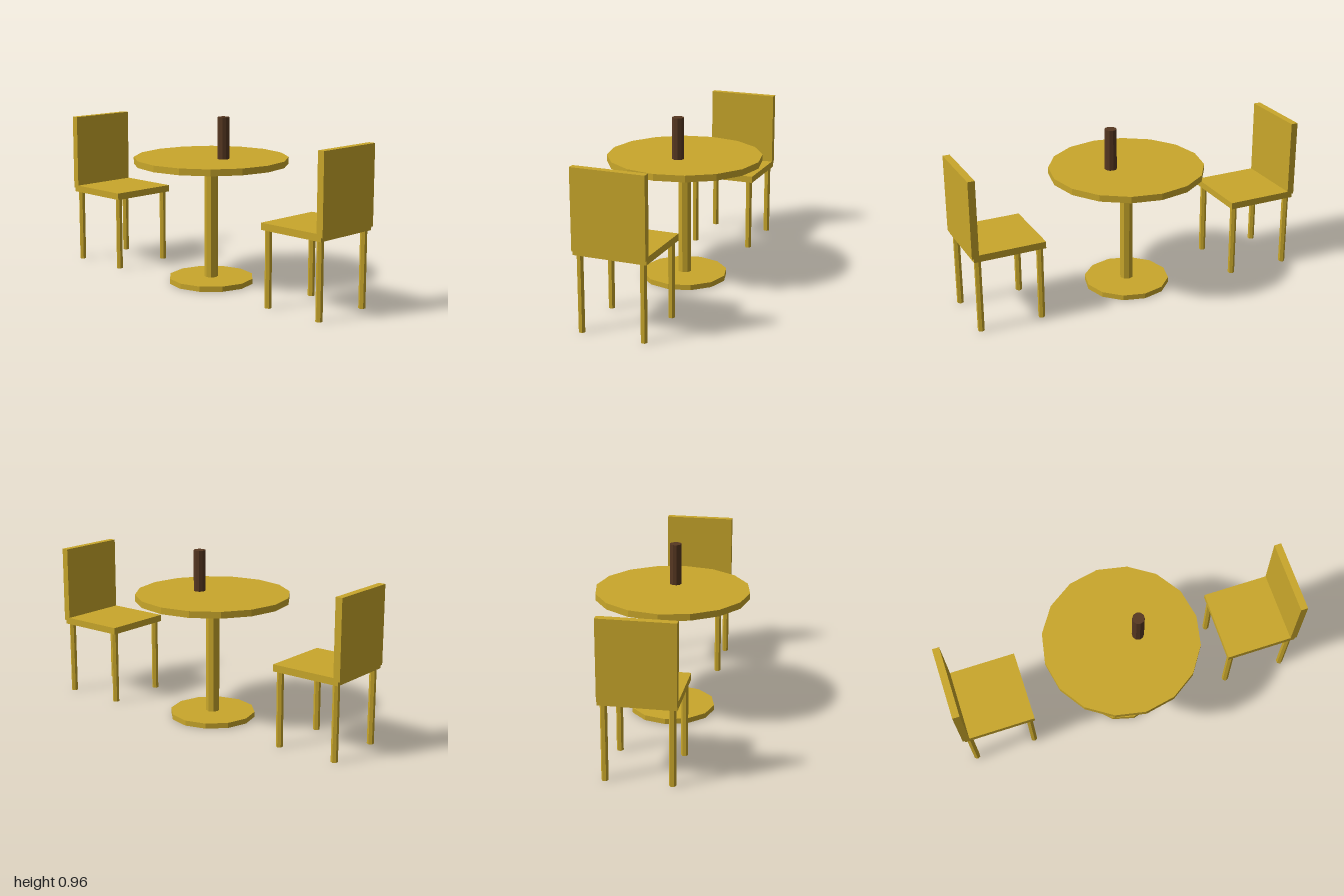
import * as THREE from 'three';

export function createModel() {
  const model = new THREE.Group();
  model.name = 'diningSet';

  const wood = new THREE.MeshStandardMaterial({ color: 0xc9a72b, flatShading: true });
  wood.name = 'golden wood';
  const brown = new THREE.MeshStandardMaterial({ color: 0x573822, flatShading: true });
  brown.name = 'dark brown';

  // Upright faceted cylinder between two heights
  function post(parent, name, radius, y0, y1, sides, x = 0, z = 0, material = wood) {
    const mesh = new THREE.Mesh(new THREE.CylinderGeometry(radius, radius, y1 - y0, sides), material);
    mesh.name = name;
    mesh.position.set(x, (y0 + y1) / 2, z);
    parent.add(mesh);
  }

  // Box spanning x0..x1 and y0..y1, centred on z
  function slab(parent, name, x0, x1, y0, y1, depth) {
    const mesh = new THREE.Mesh(new THREE.BoxGeometry(x1 - x0, y1 - y0, depth), wood);
    mesh.name = name;
    mesh.position.set((x0 + x1) / 2, (y0 + y1) / 2, 0);
    parent.add(mesh);
  }

  // Round pedestal table
  const table = new THREE.Group();
  table.name = 'table';
  post(table, 'tableTop', 0.44, 0.69, 0.727, 16);
  post(table, 'tableColumn', 0.038, 0.03, 0.69, 8);
  post(table, 'tableBase', 0.245, 0, 0.03, 12);
  model.add(table);

  // Bottle standing on the table
  post(model, 'bottle', 0.034, 0.727, 0.963, 10, 0.097, 0, brown);

  // Two chairs facing the table
  for (const side of [1, -1]) {
    const chair = new THREE.Group();
    chair.name = side > 0 ? 'leftChair' : 'rightChair';
    slab(chair, 'seat', 0.58, 0.989, 0.425, 0.464, 0.409);
    slab(chair, 'backrest', 0.96, 1, 0.447, 0.888, 0.409);
    for (const x of [0.608, 0.962]) {
      for (const z of [-0.176, 0.176]) {
        post(chair, x < 0.8 ? 'frontLeg' : 'backLeg', 0.019, 0, 0.425, 6, x, z);
      }
    }
    if (side < 0) chair.rotation.y = Math.PI;
    model.add(chair);
  }

  return model;
}
